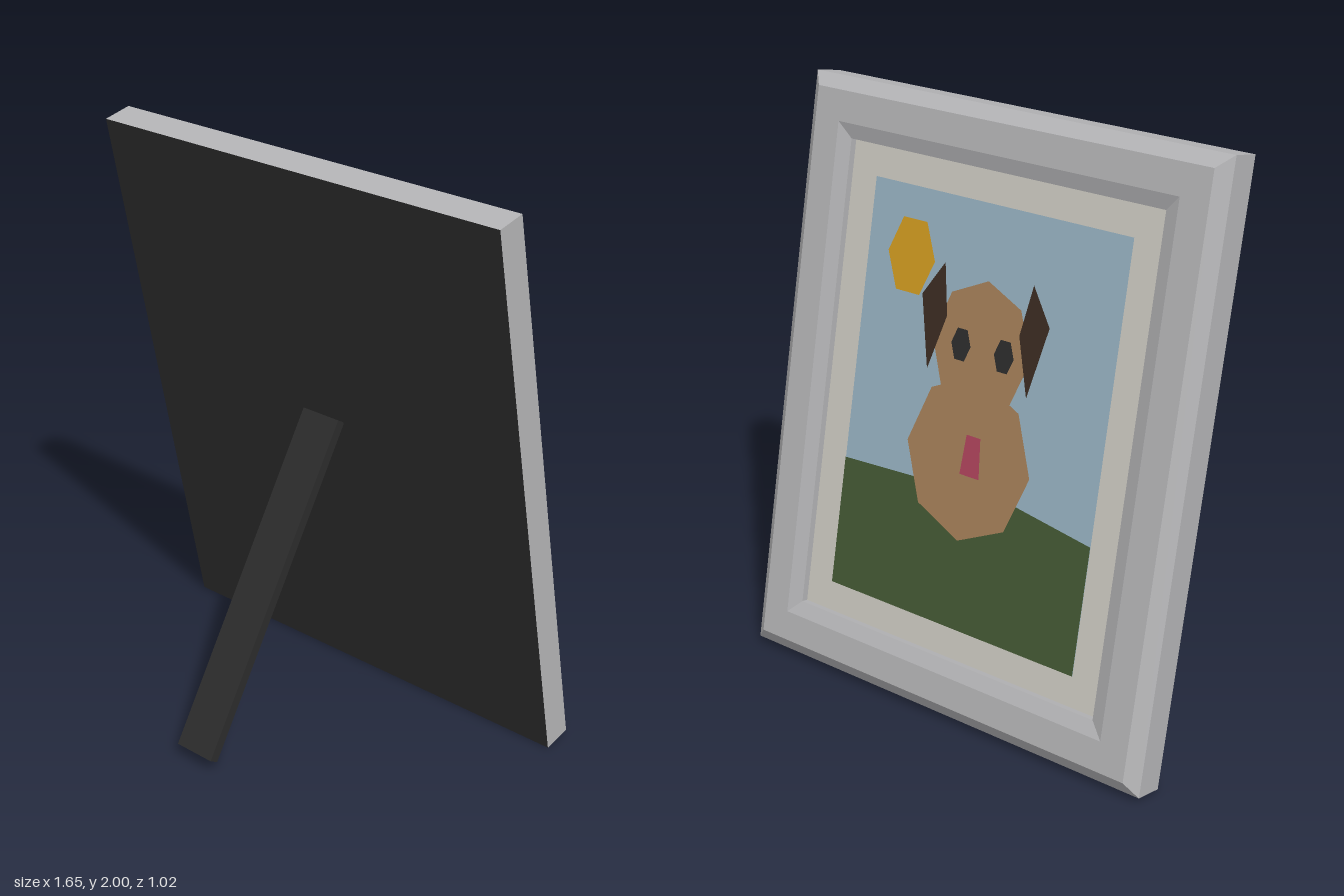
import * as THREE from 'three';

const mat = (name, color, extra = {}) => {
  const m = new THREE.MeshStandardMaterial({ color, ...extra });
  m.name = name;
  return m;
};

const W = 0.825;   // half width of the frame
const H = 2.023;   // height along the tilted panel

// Four mitred mouldings swept from a profile of [inset, depth] pairs
function mouldingGeometry(profile) {
  const corner = (k, [inset, depth]) => {
    const sx = k === 1 || k === 2 ? 1 : -1;
    return [sx * (W - inset), k >= 2 ? H - inset : inset, depth];
  };
  const pos = [];
  for (let j = 0; j < profile.length - 1; j++) {
    for (let k = 0; k < 4; k++) {
      const n = (k + 1) % 4;
      const a = corner(k, profile[j]), b = corner(n, profile[j]);
      const c = corner(n, profile[j + 1]), d = corner(k, profile[j + 1]);
      pos.push(...a, ...b, ...c, ...a, ...c, ...d);
    }
  }
  const g = new THREE.BufferGeometry();
  g.setAttribute('position', new THREE.Float32BufferAttribute(pos, 3));
  g.computeVertexNormals();
  return g;
}

// Points of an n-sided oval, starting on the +x side
function oval(cx, cy, rx, ry, n) {
  return Array.from({ length: n }, (_, i) => {
    const a = (i / n) * Math.PI * 2;
    return [cx + rx * Math.cos(a), cy + ry * Math.sin(a)];
  });
}

const rect = (x, y0, y1) => [[-x, y0], [x, y0], [x, y1], [-x, y1]];

export function createModel() {
  const silver = mat('silver frame', 0xb4b4b6);
  const black = mat('black', 0x2c2c2c);
  const cream = mat('cream mount', 0xcbc9c0);
  const sky = mat('sky blue', 0x96b1c0);
  const green = mat('grass green', 0x435833);
  const fur = mat('brown fur', 0xa47f58);
  const dark = mat('dark brown', 0x3b2b21);
  const gold = mat('sun yellow', 0xd09b20);
  const pink = mat('tongue pink', 0xae435c);

  const model = new THREE.Group();
  model.name = 'pictureFrame';

  // Leaning panel: local +z is the picture side
  const panel = new THREE.Group();
  panel.name = 'panel';
  panel.rotation.set(0.2066, Math.PI, 0);
  panel.position.set(0, 0, -0.375);
  model.add(panel);

  const add = (parent, name, geometry, material) => {
    const m = new THREE.Mesh(geometry, material);
    m.name = name;
    parent.add(m);
    return m;
  };

  add(panel, 'frameMoulding', mouldingGeometry([
    [0, 0], [0, 0.107], [0.045, 0.143], [0.148, 0.143], [0.198, 0.126], [0.198, 0.1],
  ]), silver);

  const back = add(panel, 'backPanel', new THREE.PlaneGeometry(2 * W, H), black);
  back.rotation.y = Math.PI;
  back.position.y = H / 2;

  // Flat painted pieces, each on its own thin layer
  const flat = (name, points, depth, material) => {
    const shape = new THREE.Shape(points.map(([x, y]) => new THREE.Vector2(x, y)));
    add(panel, name, new THREE.ShapeGeometry(shape), material).position.z = depth;
  };
  flat('mount', rect(0.627, 0.198, H - 0.198), 0.102, cream);
  flat('sky', rect(0.517, 0.303, 1.719), 0.107, sky);
  flat('grass', [[-0.517, 0.303], [0.517, 0.303], [0.517, 0.735], [0.2, 0.783],
    [-0.2, 0.768], [-0.517, 0.753]], 0.109, green);
  flat('sun', oval(-0.33, 1.49, 0.1, 0.14, 6), 0.109, gold);
  flat('body', oval(0, 0.885, 0.255, 0.28, 8), 0.112, fur);
  flat('head', oval(0, 1.255, 0.2, 0.22, 8), 0.114, fur);
  for (const s of [-1, 1]) {
    const ear = [[0.18, 1.5], [0.148, 1.33], [0.205, 1.14], [0.26, 1.38]];
    flat(s < 0 ? 'leftEar' : 'rightEar', ear.map(([x, y]) => [s * x, y]), 0.117, dark);
    flat(s < 0 ? 'leftEye' : 'rightEye', oval(0.01 + s * 0.088, 1.25, 0.04, 0.06, 6), 0.117, black);
  }
  flat('tongue', [[-0.02, 0.83], [0.06, 0.83], [0.047, 0.965], [-0.01, 0.965]], 0.117, pink);

  // Easel leg propping the panel from behind
  const leg = add(model, 'easelLeg', new THREE.BoxGeometry(0.155, 1.218, 0.036), black);
  leg.position.set(0, 0.56, 0.178);
  leg.rotation.x = -0.548;

  return model;
}
